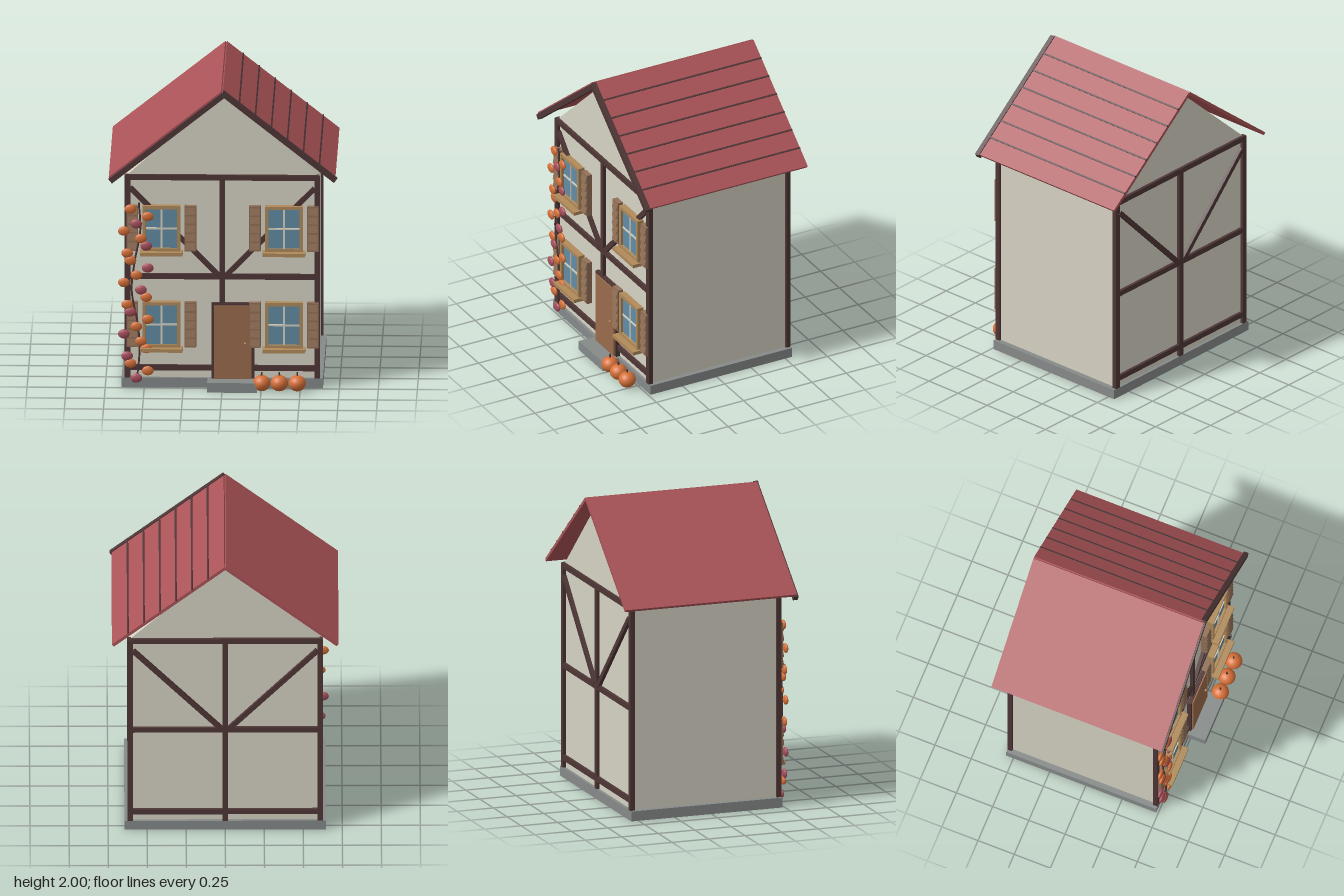
import * as THREE from 'three';

const mat = (name, color, extra = {}) => {
  const m = new THREE.MeshStandardMaterial({ color, ...extra });
  m.name = name;
  return m;
};

export function createModel() {
  const M = {
    plaster: mat('plaster', 0xd6d3c3),
    timber: mat('darkTimber', 0x4f3636),
    roof: mat('roofRed', 0xaa5357),
    stone: mat('stone', 0x868a89),
    door: mat('doorBrown', 0x996b4b),
    shutter: mat('shutterBrown', 0x927057),
    trim: mat('windowTrim', 0xb08a5a),
    glass: mat('glass', 0x618ca4),
    orange: mat('orange', 0xd67038),
    rose: mat('rose', 0xa84f5c),
  };
  const house = new THREE.Group();
  house.name = 'house';

  const add = (parent, name, geo, material, x = 0, y = 0, z = 0) => {
    const m = new THREE.Mesh(geo, material);
    m.name = name;
    m.position.set(x, y, z);
    parent.add(m);
    return m;
  };
  // box given by its limits
  const box = (parent, name, material, x0, x1, y0, y1, z0, z1) =>
    add(parent, name, new THREE.BoxGeometry(x1 - x0, y1 - y0, z1 - z0), material,
      (x0 + x1) / 2, (y0 + y1) / 2, (z0 + z1) / 2);
  const group = (name, parent = house) => {
    const g = new THREE.Group();
    g.name = name;
    parent.add(g);
    return g;
  };

  // foundation, doorstep and walls
  box(house, 'foundation', M.stone, -0.645, 0.645, 0, 0.065, -0.55, 0.487);
  box(house, 'doorstep', M.stone, -0.095, 0.225, 0, 0.064, 0.45, 0.603);
  box(house, 'walls', M.plaster, -0.61, 0.61, 0.065, 1.4, -0.53, 0.467);

  // gable prism under the roof
  const tri = new THREE.Shape([
    new THREE.Vector2(-0.62, 1.4), new THREE.Vector2(0.62, 1.4), new THREE.Vector2(0, 1.965)]);
  add(house, 'gable', new THREE.ExtrudeGeometry(tri, { depth: 0.997, bevelEnabled: false }),
    M.plaster, 0, 0, -0.53);

  // timber framing, front and back
  for (const [name, zc, out] of [['frontFrame', 0.471, 1], ['backFrame', -0.534, -1]]) {
    const g = group(name);
    const z0 = zc - 0.016, z1 = zc + 0.016;
    for (const x of [-0.608, 0, 0.608])
      box(g, 'post', M.timber, x - 0.018, x + 0.018, 0.065, 1.41, z0, z1);
    for (const y of [0.131, 0.739, 1.398])
      box(g, 'rail', M.timber, -0.62, 0.62, y - 0.018, y + 0.018, z0 + 0.001, z1 - 0.001);
    for (const s of [-1, 1]) {
      const dx = 0.56, dy = 0.575;
      const b = add(g, 'brace', new THREE.BoxGeometry(Math.hypot(dx, dy), 0.032, 0.03),
        M.timber, s * 0.31, 1.04, zc + out * 0.004);
      b.rotation.z = s * Math.atan2(dy, dx);
    }
  }

  // roof slopes with verge boards; battens on the left slope
  const pitch = Math.atan2(0.573, 0.72), len = 0.92;
  for (const s of [-1, 1]) {
    const g = group(s > 0 ? 'leftRoof' : 'rightRoof');
    g.position.y = 1.985;
    g.rotation.z = -s * pitch;
    add(g, 'roofSlab', new THREE.BoxGeometry(len, 0.02, 1.175), M.roof, s * len / 2, 0, -0.0325);
    add(g, 'vergeBoard', new THREE.BoxGeometry(len + 0.01, 0.035, 0.032), M.timber,
      s * (len + 0.01) / 2, s > 0 ? -0.001 : -0.018, 0.55);
    if (s > 0)
      for (let i = 1; i < 7; i++)
        add(g, 'roofBatten', new THREE.BoxGeometry(0.01, 0.012, 1.155), M.timber,
          i * 0.1025 / Math.cos(pitch), 0.009, -0.0425);
  }

  // door
  const door = group('door');
  box(door, 'doorFrame', M.timber, -0.07, 0.205, 0.064, 0.565, 0.46, 0.494);
  box(door, 'doorPanel', M.door, -0.053, 0.187, 0.064, 0.55, 0.47, 0.503);
  add(door, 'doorKnob', new THREE.SphereGeometry(0.009, 12, 8), M.trim, 0.147, 0.3, 0.508);

  // windows with sill and shutters
  const addWindow = (x, y) => {
    const g = group('window');
    g.position.set(x, y, 0);
    const w = 0.122, h = 0.152, t = 0.022;
    box(g, 'glass', M.glass, -w + t, w - t, -h + t, h - t, 0.46, 0.492);
    for (const s of [-1, 1]) {
      const a = s * (w - t / 2), b = s * (h - t / 2);
      box(g, 'frameSide', M.trim, a - t / 2, a + t / 2, -h, h, 0.46, 0.51);
      box(g, 'frameRail', M.trim, -w, w, b - t / 2, b + t / 2, 0.46, 0.509);
      // shutter: board with louvres
      const c = s * 0.186;
      box(g, 'shutter', M.shutter, c - 0.037, c + 0.037, -0.15, 0.15, 0.465, 0.502);
      for (let i = 0; i < 5; i++) {
        const l = add(g, 'louvre', new THREE.BoxGeometry(0.06, 0.045, 0.01), M.shutter,
          c, -0.116 + i * 0.058, 0.503);
        l.rotation.x = -0.2;
      }
    }
    box(g, 'mullion', M.plaster, -0.006, 0.006, -h + t, h - t, 0.49, 0.499);
    box(g, 'crossbar', M.plaster, -w + t, w - t, -0.006, 0.006, 0.49, 0.498);
    box(g, 'sill', M.trim, -0.137, 0.137, -h - 0.02, -h + 0.003, 0.46, 0.55);
  };
  for (const x of [-0.39, 0.395]) for (const y of [0.421, 1.062]) addWindow(x, y);

  // climbing vine with flattened leaves
  const vine = group('vine');
  const path = new THREE.CatmullRomCurve3([
    [-0.545, 0.07], [-0.53, 0.25], [-0.54, 0.42], [-0.58, 0.65], [-0.56, 0.85], [-0.525, 1.05],
    [-0.535, 1.24]].map(([x, y]) => new THREE.Vector3(x, y, 0.508)));
  add(vine, 'vineStem', new THREE.TubeGeometry(path, 40, 0.007, 6), M.timber);
  const leafX = [-0.55, -0.477, -0.588, -0.609, -0.487, -0.521, -0.63];
  const leafGeo = new THREE.SphereGeometry(1, 12, 8);
  for (let i = 0; i < 24; i++)
    add(vine, 'leaf', leafGeo, i % 3 ? M.orange : M.rose,
      leafX[i % 7], 0.069 + i * 0.0489, 0.512).scale.set(0.038, 0.031, 0.014);

  // pumpkins by the door
  for (const x of [0.254, 0.367, 0.482]) {
    const g = group('pumpkin');
    g.position.set(x, 0.056, 0.566);
    add(g, 'pumpkinBody', new THREE.SphereGeometry(0.056, 20, 14), M.orange).scale.y = 0.93;
    add(g, 'pumpkinStalk', new THREE.CylinderGeometry(0.005, 0.007, 0.03, 8), M.timber, 0, 0.058, 0);
  }
  return house;
}
